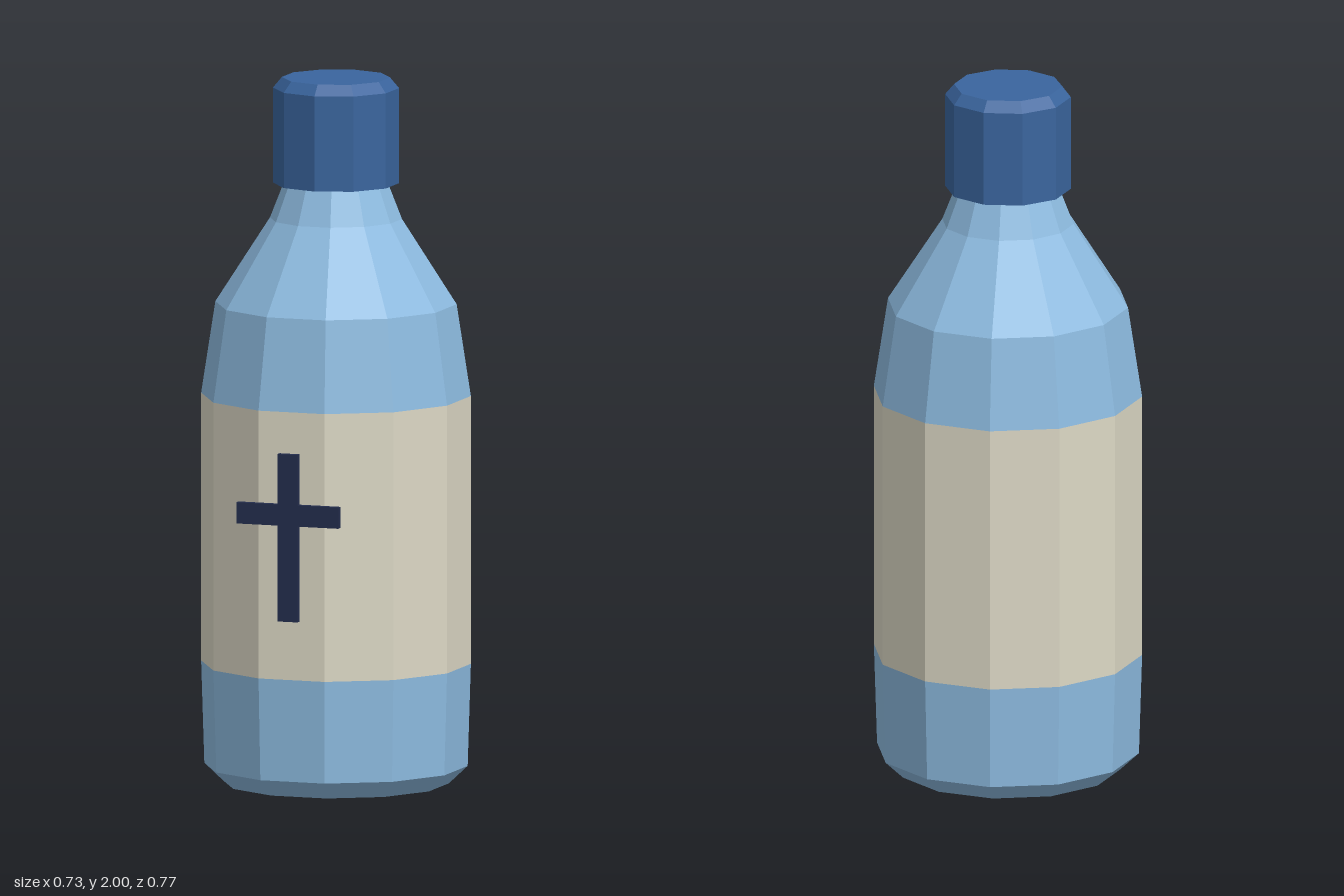
import * as THREE from 'three';

const material = (name, color) => {
  const m = new THREE.MeshStandardMaterial({ color });
  m.name = name;
  return m;
};

// Faceted solid of revolution; profile is [radius, y] from bottom to top
function facetedLathe(name, profile, sides, phiStart, mat) {
  const points = profile.map(([r, y]) => new THREE.Vector2(r, y));
  const geometry = new THREE.LatheGeometry(points, sides, phiStart).toNonIndexed();
  geometry.computeVertexNormals();
  const mesh = new THREE.Mesh(geometry, mat);
  mesh.name = name;
  return mesh;
}

export function createModel() {
  const glass = material('light blue glass', 0x8dbbe0);
  const paper = material('cream paper', 0xdcd8c5);
  const capBlue = material('dark blue cap', 0x3a659e);
  const navy = material('navy', 0x232d4d);

  const model = new THREE.Group();
  model.name = 'bottle';

  // Bottle: twelve sides, with a flat face to the front
  const bottle = new THREE.Group();
  bottle.name = 'bottleBody';
  bottle.position.z = -0.017;
  const turn = Math.PI / 12;
  bottle.add(
    facetedLathe('base', [[0, 0], [0.318, 0], [0.371, 0.05], [0.38, 0.34]], 12, turn, glass),
    facetedLathe('label', [[0.38, 0.34], [0.38, 1.1]], 12, turn, paper),
    facetedLathe('shoulderAndNeck',
      [[0.38, 1.1], [0.34, 1.36], [0.186, 1.6], [0.147, 1.7], [0.14, 1.72]], 12, turn, glass),
    // Cap: ten sides, with a corner to the front and a bevelled top
    facetedLathe('cap', [[0, 1.7], [0.177, 1.7], [0.177, 1.97], [0.152, 2], [0, 2]], 10, 0, capBlue),
  );
  model.add(bottle);

  // Cross emblem standing just off the label
  const w = 0.03, arm = 0.152, bottom = 0.51, low = 0.782, high = 0.842, top = 0.985;
  const outline = [
    [-w, bottom], [w, bottom], [w, low], [arm, low], [arm, high], [w, high],
    [w, top], [-w, top], [-w, high], [-arm, high], [-arm, low], [-w, low],
  ].map(([x, y]) => new THREE.Vector2(x, y));
  const cross = new THREE.Mesh(
    new THREE.ExtrudeGeometry(new THREE.Shape(outline), { depth: 0.018, bevelEnabled: false }), navy);
  cross.name = 'crossEmblem';
  cross.position.z = 0.366;
  model.add(cross);

  return model;
}
